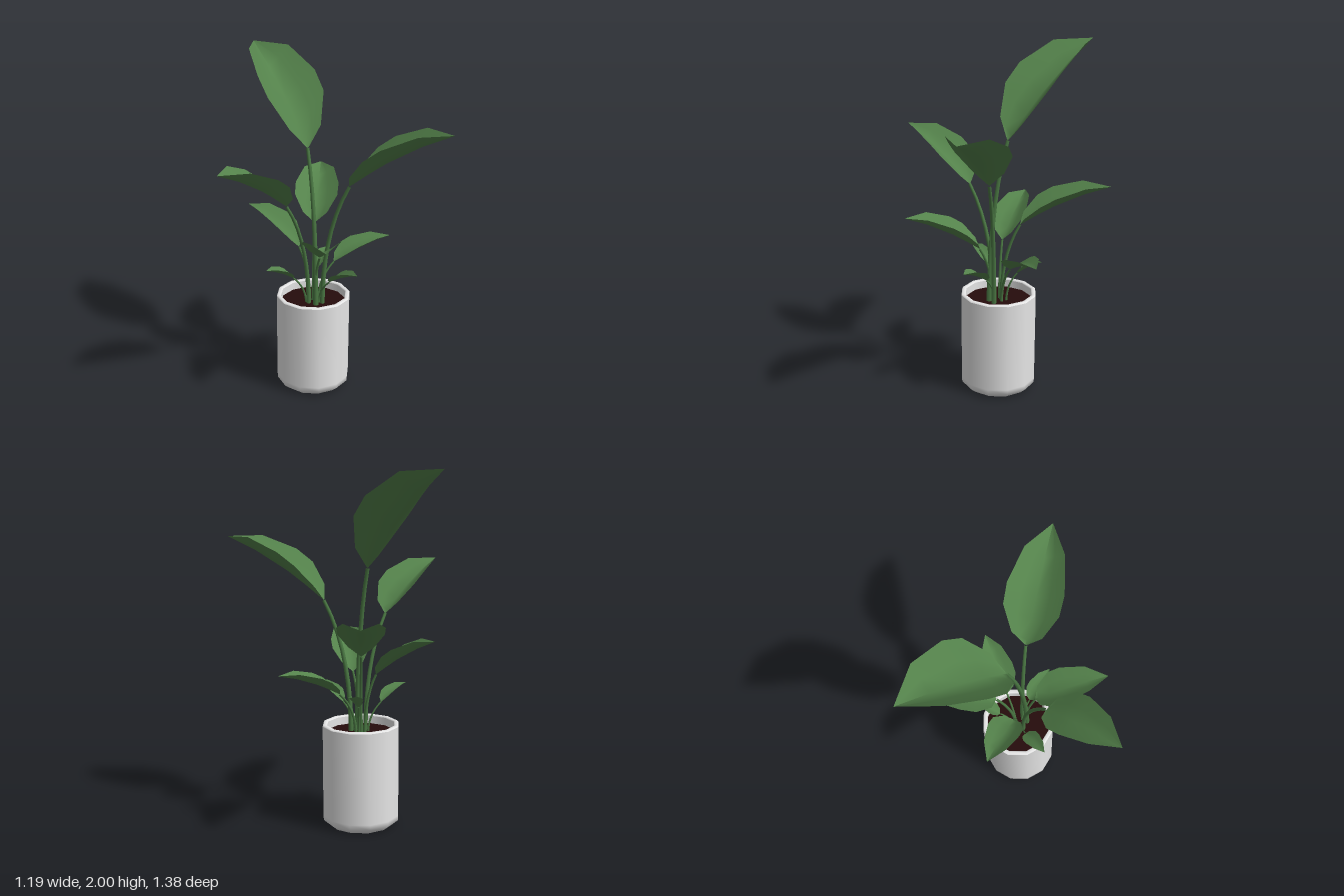
import * as THREE from 'three';

const CX = 0.11, CZ = -0.03; // pot centre

// Leaf outline: position along the midrib and relative half width
const ROWS = [[0, 0.06], [0.04, 0.55], [0.2, 0.98], [0.37, 1], [0.7, 0.7], [1, 0]];
// Across the blade: side position and relative lift of a soft V fold
const ACROSS = [[-1, 1], [-0.5, 0.42], [0, 0], [0.5, 0.42], [1, 1]];

// base, tip and root (x, z) of every leaf, with stem radius
const LEAVES = [
  { name: 'tallBackLeaf', base: [0.12, 1.48, -0.09], tip: [0.26, 2.0, -0.69], root: [0.08, 0.02], r: 0.016 },
  { name: 'tallFrontLeaf', base: [0.2, 1.29, 0.165], tip: [0.44, 1.64, 0.69], root: [0.125, 0.03], r: 0.015 },
  { name: 'tallRightLeaf', base: [-0.11, 1.2, -0.03], tip: [-0.6, 1.49, -0.03], root: [0.07, -0.03], r: 0.014 },
  { name: 'middleBackLeftLeaf', base: [0.2, 1.0, -0.11], tip: [0.59, 1.225, -0.435], root: [0.12, -0.04], r: 0.011 },
  { name: 'middleFrontLeaf', base: [0.055, 0.87, 0.075], tip: [-0.225, 1.07, 0.39], root: [0.09, 0.0], r: 0.01 },
  { name: 'middleBackLeaf', base: [0.07, 0.88, -0.11], tip: [-0.025, 1.09, -0.445], root: [0.1, -0.05], r: 0.01 },
  { name: 'lowLeftLeaf', base: [0.235, 0.775, 0.02], tip: [0.545, 0.905, 0.19], root: [0.14, -0.02], r: 0.009 },
  { name: 'smallRightLeaf', base: [0.0, 0.705, -0.09], tip: [-0.18, 0.795, -0.13], root: [0.07, -0.05], r: 0.007 },
  { name: 'smallFrontLeaf', base: [0.12, 0.7, 0.095], tip: [0.13, 0.8, 0.3], root: [0.115, 0.01], r: 0.007 },
  { name: 'smallLeftLeaf', base: [0.2, 0.71, -0.09], tip: [0.335, 0.795, -0.14], root: [0.15, -0.05], r: 0.007 },
];

// Blade folded along its midrib, with raised edges
function bladeGeometry(base, tip) {
  const dir = tip.clone().sub(base);
  const width = 0.235 * dir.length();
  const run = Math.hypot(dir.x, dir.z);
  const lift = width * (0.35 + 0.6 * dir.y / run);
  const side = new THREE.Vector3(-dir.z / run, 0, dir.x / run);
  const pos = [], index = [];
  ROWS.forEach(([t, w], i) => {
    const mid = base.clone().addScaledVector(dir, t);
    mid.y += 0.05 * dir.length() * Math.sin(Math.PI * t);
    ACROSS.forEach(([s, h], j) => {
      const p = mid.clone().addScaledVector(side, s * w * width);
      pos.push(p.x, p.y + h * lift * w, p.z);
      if (i && j) {
        const b = i * ACROSS.length + j, a = b - 1;
        const d = b - ACROSS.length, c = d - 1;
        index.push(c, b, d);
        if (i < ROWS.length - 1) index.push(c, a, b);
        else index.splice(-3, 3, c, b, d);
      }
    });
  });
  const g = new THREE.BufferGeometry();
  g.setAttribute('position', new THREE.Float32BufferAttribute(pos, 3));
  g.setIndex(index);
  g.computeVertexNormals();
  // Front faces look upwards
  if (g.attributes.normal.getY(2 * ACROSS.length + 2) < 0) {
    g.setIndex(index.reverse());
    g.computeVertexNormals();
  }
  return g;
}

// Tapering stem that rises from the soil and bends outwards
function stemGeometry(root, base, r) {
  const start = new THREE.Vector3(root[0], 0.52, root[1]);
  const bend = new THREE.Vector3(root[0], 0.52 + (base.y - 0.52) * 0.63, root[1]);
  const curve = new THREE.QuadraticBezierCurve3(start, bend, base);
  const segs = 8, sides = 6;
  const g = new THREE.TubeGeometry(curve, segs, r, sides, false);
  const p = g.attributes.position, v = new THREE.Vector3();
  for (let i = 0; i <= segs; i++) {
    const c = curve.getPointAt(i / segs);
    for (let j = 0; j <= sides; j++) {
      const k = i * (sides + 1) + j;
      v.fromBufferAttribute(p, k).sub(c).multiplyScalar(1 - 0.35 * i / segs).add(c);
      p.setXYZ(k, v.x, v.y, v.z);
    }
  }
  return g;
}

export function createModel() {
  const model = new THREE.Group();
  const mat = (name, color, side = THREE.FrontSide) => {
    const m = new THREE.MeshStandardMaterial({ color, side });
    m.name = name;
    return m;
  };
  const leafGreen = mat('leaf green', 0x54824b, THREE.DoubleSide);
  const stemGreen = mat('stem green', 0x4a7843);
  const potWhite = mat('pot white', 0xe6e6e6);
  const soilBrown = mat('soil brown', 0x260c0c);
  const add = (parent, name, geometry, material) => {
    const mesh = new THREE.Mesh(geometry, material);
    mesh.name = name;
    parent.add(mesh);
    return mesh;
  };

  // Pot: closed base, bevelled foot, thin rim and inner wall (doubled points keep edges sharp)
  const profile = [
    [0, 0], [0.185, 0], [0.22, 0.03], [0.222, 0.06], [0.222, 0.585], [0.222, 0.585], [0.217, 0.592],
    [0.2, 0.592], [0.196, 0.585], [0.196, 0.585], [0.196, 0.5],
  ].map(([x, y]) => new THREE.Vector2(x, y));
  const pot = add(model, 'pot', new THREE.LatheGeometry(profile, 12, -Math.PI / 30), potWhite);
  pot.position.set(CX, 0, CZ);

  // Soil
  const soil = add(model, 'soil', new THREE.CircleGeometry(0.2, 12), soilBrown);
  soil.rotation.x = -Math.PI / 2;
  soil.position.set(CX, 0.54, CZ);

  // Leaves, each with its stem
  for (const { name, base, tip, root, r } of LEAVES) {
    const group = new THREE.Group();
    group.name = name;
    model.add(group);
    const b = new THREE.Vector3(...base);
    add(group, 'blade', bladeGeometry(b, new THREE.Vector3(...tip)), leafGreen);
    add(group, 'stem', stemGeometry(root, b, r), stemGreen);
  }
  return model;
}
